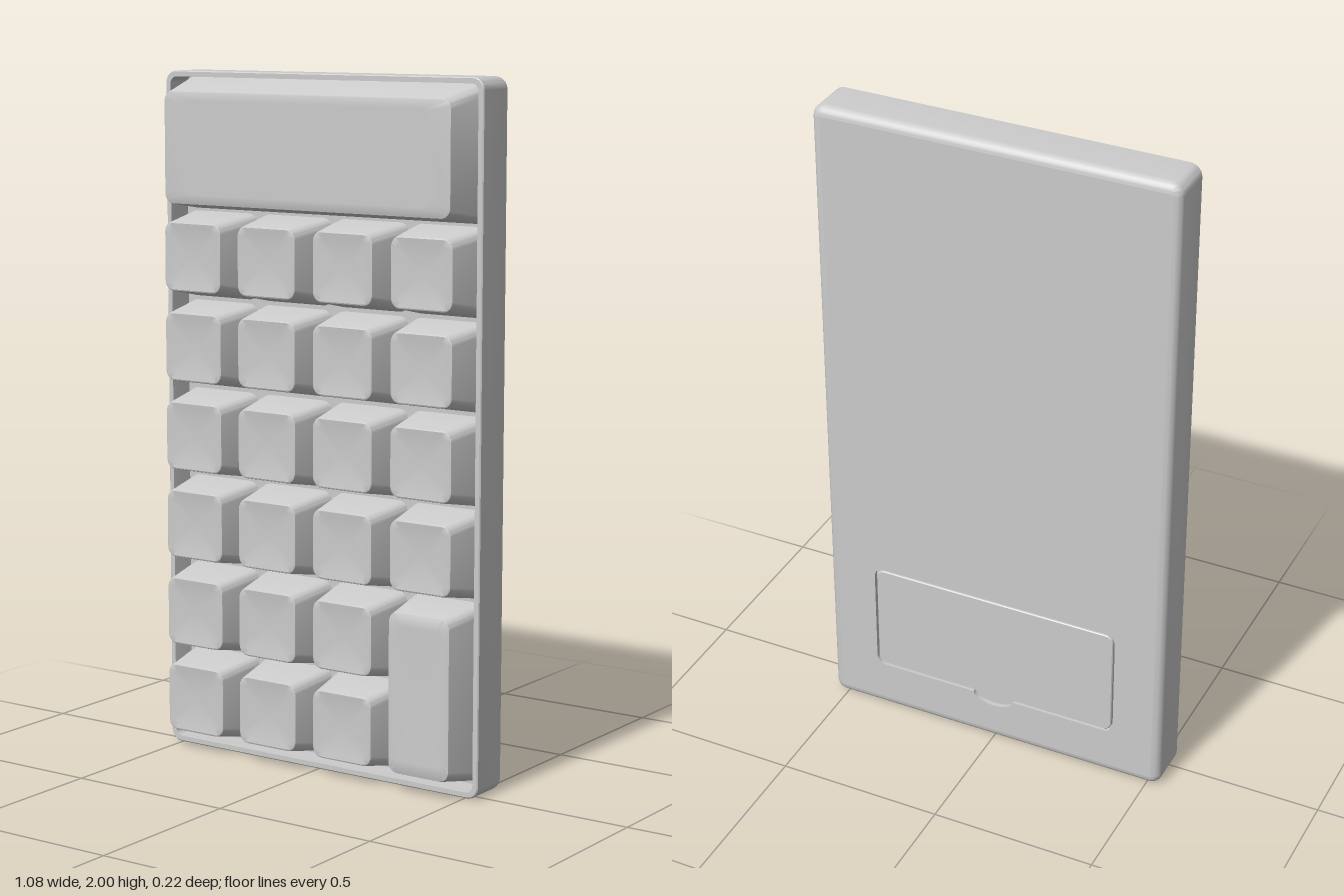
import * as THREE from 'three';
import { toCreasedNormals } from 'three/addons/utils/BufferGeometryUtils.js';

const material = new THREE.MeshStandardMaterial({ color: 0xcccccc });
const CORNER_STEPS = 6;

// Counter-clockwise outline of a rounded rectangle centred on the origin
function roundedRect(w, h, r) {
  const points = [];
  for (let c = 0; c < 4; c++) {
    const sx = c === 0 || c === 3 ? 1 : -1;
    const sy = c < 2 ? 1 : -1;
    for (let i = 0; i <= CORNER_STEPS; i++) {
      const a = (c + i / CORNER_STEPS) * Math.PI / 2;
      points.push(new THREE.Vector2(
        sx * (w / 2 - r) + r * Math.cos(a),
        sy * (h / 2 - r) + r * Math.sin(a)));
    }
  }
  return points;
}

// Skin rounded-rectangle rings [width, height, radius, z, yShift]; the last ring is closed
function loft(rings, crease = 0.5) {
  const pos = [], index = [];
  const n = 4 * (CORNER_STEPS + 1);
  for (const [w, h, r, z, dy = 0] of rings) {
    for (const p of roundedRect(w, h, r)) pos.push(p.x, p.y + dy, z);
  }
  for (let k = 0; k < rings.length - 1; k++) {
    for (let i = 0; i < n; i++) {
      const a = k * n + i, b = k * n + (i + 1) % n;
      index.push(a, b, b + n, a, b + n, a + n);
    }
  }
  const [, , , z, dy = 0] = rings[rings.length - 1];
  const last = (rings.length - 1) * n;
  pos.push(0, dy, z);
  for (let i = 0; i < n; i++) index.push(last + i, last + (i + 1) % n, rings.length * n);
  const geo = new THREE.BufferGeometry();
  geo.setAttribute('position', new THREE.Float32BufferAttribute(pos, 3));
  geo.setIndex(index);
  return toCreasedNormals(geo, crease);
}

function add(parent, name, geo, x, y, z = 0) {
  const mesh = new THREE.Mesh(geo, material);
  mesh.name = name;
  mesh.position.set(x, y, z);
  parent.add(mesh);
  return mesh;
}

const FLOOR = -0.045;

// Tapered cap with a softened upper edge and an optional dished top
function capGeometry(w, h, top, { inset = 0.024, dish = 0, shift = 0, edge = 0.005 } = {}) {
  const tw = w - 2 * inset, th = h - 2 * inset;
  const rings = [
    [w, h, 0.03, FLOOR, 0],
    [tw, th, 0.03, top - edge, shift],
    [tw - 0.6 * edge, th - 0.6 * edge, 0.029, top - 0.3 * edge, shift],
    [tw - 2 * edge, th - 2 * edge, 0.026, top, shift],
  ];
  for (const f of [0.85, 0.65, 0.45, 0.25, 0.08]) {
    rings.push([(tw - 2 * edge) * f, (th - 2 * edge) * f, 0.026 * f, top - dish * (1 - f * f), shift]);
  }
  return loft(rings);
}

export function createModel() {
  const model = new THREE.Group();
  model.name = 'keypad';
  const W = 1.084, H = 2, BACK = -0.11, FRONT = 0.03, R = 0.028;

  // Shell: rounded back edge, straight sides, thin rim and recessed floor
  const rings = [];
  for (let i = 0; i <= 6; i++) {
    const a = i / 6 * Math.PI / 2;
    const inset = R * (1 - Math.sin(a));
    rings.push([W - 2 * inset, H - 2 * inset, 0.035 - inset, BACK + R * (1 - Math.cos(a))]);
  }
  rings.push(
    [W, H, 0.035, FRONT - 0.003],
    [W - 0.006, H - 0.006, 0.032, FRONT],
    [W - 0.034, H - 0.034, 0.022, FRONT],
    [W - 0.038, H - 0.038, 0.02, FLOOR]);
  add(model, 'shell', loft(rings), 0, H / 2);

  // Back panel with an opening for the battery cover and its finger notch
  const coverY = 0.332, coverW = 0.78, coverH = 0.356, depth = 0.014;
  const outline = new THREE.Shape(roundedRect(W - 2 * R, H - 2 * R, 0.007));
  const opening = roundedRect(coverW, coverH, 0.03).map(p => p.add(new THREE.Vector2(0, coverY - 1)));
  const notch = [];
  for (let i = 0; i <= 12; i++) {
    const a = Math.PI + i / 12 * Math.PI;
    notch.push(new THREE.Vector2(0.065 * Math.cos(a), coverY - 1 - coverH / 2 + 0.032 * Math.sin(a)));
  }
  // the notch sits on the lower edge, between the third and fourth corners
  opening.splice(3 * (CORNER_STEPS + 1), 0, ...notch);
  outline.holes.push(new THREE.Path(opening));
  const panel = new THREE.ExtrudeGeometry(outline, { depth, bevelEnabled: false });
  add(model, 'backPanel', toCreasedNormals(panel, 0.5), 0, 1, BACK);

  const pocket = new THREE.PlaneGeometry(coverW + 0.04, coverH + 0.1);
  pocket.rotateY(Math.PI);
  add(model, 'batteryPocket', pocket, 0, coverY - 0.01, BACK + depth);

  // Battery cover, leaving a narrow seam all round
  const cover = loft([
    [coverW - 0.012, coverH - 0.012, 0.025, -depth],
    [coverW - 0.012, coverH - 0.012, 0.025, -0.003],
    [coverW - 0.017, coverH - 0.017, 0.023, 0],
  ]);
  cover.rotateY(Math.PI);
  add(model, 'batteryCover', cover, 0, coverY, BACK);

  // Display block
  add(model, 'display',
    capGeometry(1.036, 0.384, 0.108, { inset: 0.03, shift: -0.008 }), 0, 1.792);

  // Keys: four columns, six rows; the lower right pair is one tall key
  const keys = new THREE.Group();
  keys.name = 'keys';
  model.add(keys);
  const pitch = 0.262;
  const keyGeo = capGeometry(0.25, 0.25, 0.103, { dish: 0.007, shift: 0.003 });
  for (let row = 0; row < 6; row++) {
    for (let col = 0; col < 4; col++) {
      if (col === 3 && row < 2) continue;
      add(keys, 'key', keyGeo, (col - 1.5) * pitch, 0.157 + row * pitch);
    }
  }
  add(keys, 'tallKey', capGeometry(0.25, 0.25 + pitch, 0.107, { dish: 0.003, shift: 0.003 }),
    1.5 * pitch, 0.157 + pitch / 2);

  return model;
}
